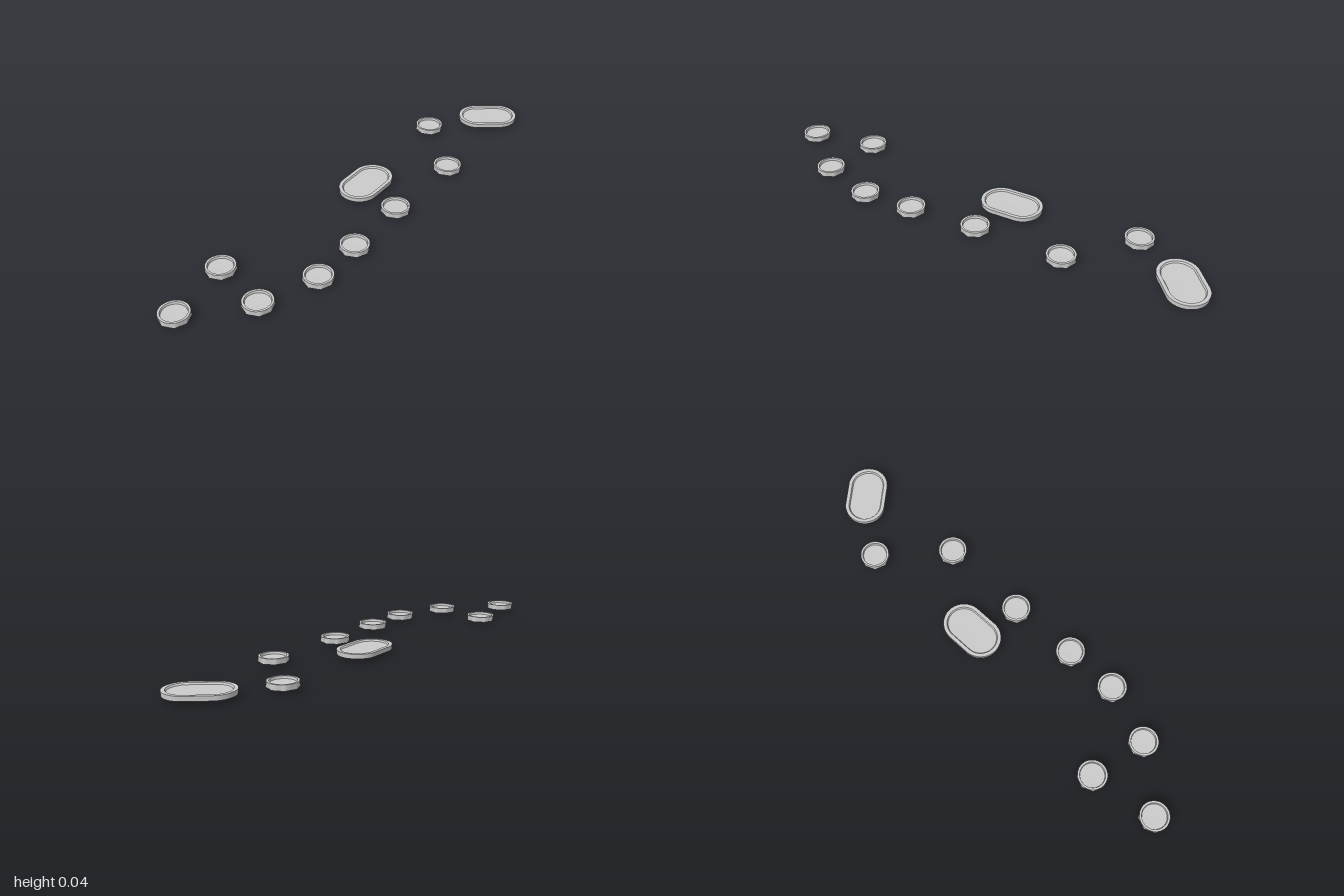
import * as THREE from 'three';

const material = new THREE.MeshStandardMaterial({ color: 0xcccccc });
const SEG = 48;

// Closed stadium outline in the xz plane (a circle when half = 0).
// A number of sides turns the round outline into a regular polygon.
function ring(r, half, y, sides = 0) {
  const points = [];
  for (let i = 0; i < SEG; i++) {
    const a = ((i + (half ? 0.5 : 0)) / SEG) * Math.PI * 2;
    let rad = r;
    if (sides) {
      const step = Math.PI / sides;
      rad = (r * Math.cos(step)) / Math.cos((a % (2 * step)) - step);
    }
    const c = Math.cos(a), s = Math.sin(a);
    points.push([rad * c, y, rad * s + (half ? Math.sign(s) * half : 0)]);
  }
  return points;
}

const point = (x, y, z) => Array.from({ length: SEG }, () => [x, y, z]);

// Skins the rings in order; every band keeps its own normals so rims stay sharp.
function loft(rings) {
  const positions = [], index = [];
  for (let b = 0; b < rings.length - 1; b++) {
    const base = positions.length / 3;
    for (const p of [...rings[b], ...rings[b + 1]]) positions.push(...p);
    for (let i = 0; i < SEG; i++) {
      const j = (i + 1) % SEG;
      const a = base + i, c = base + j, d = a + SEG, e = c + SEG;
      if (b > 0) index.push(a, d, c);
      if (b < rings.length - 2) index.push(c, d, e);
      if (b === 0) index.push(a, d, e);
      else if (b === rings.length - 2) index.push(c, d, c);
    }
  }
  const geometry = new THREE.BufferGeometry();
  geometry.setAttribute('position', new THREE.Float32BufferAttribute(positions, 3));
  // Drop the zero-area corners at the pole
  const clean = [];
  for (let i = 0; i < index.length; i += 3) {
    if (index[i] !== index[i + 2]) clean.push(index[i], index[i + 1], index[i + 2]);
  }
  geometry.setIndex(clean);
  geometry.computeVertexNormals();
  return geometry;
}

// Small round dish: flat faceted foot, round wall, thin lip and sunken floor
const roundDish = loft([
  point(0, 0.014, 0),
  ring(0.062, 0, 0.014, 8),
  ring(0.06, 0, 0.037),
  ring(0.051, 0, 0.037),
  ring(0.049, 0, 0.027),
  point(0, 0.026, 0),
]);

// Long dish: shallow pointed underside, low wall, lip and shallow floor
const longDish = (ax, az) => loft([
  point(ax, 0, az),
  ring(0.084, 0.048, 0.016),
  ring(0.085, 0.048, 0.035),
  ring(0.07, 0.048, 0.035),
  ring(0.066, 0.048, 0.028),
  point(0, 0.027, 0),
]);

export function createModel() {
  const group = new THREE.Group();

  const add = (name, geometry, x, z, turn = 0) => {
    const mesh = new THREE.Mesh(geometry, material);
    mesh.name = name;
    mesh.position.set(x, 0, z);
    mesh.rotation.y = turn;
    group.add(mesh);
  };

  // Winding trail of round dishes
  [
    [-0.08, -0.652], [0.163, -0.422], [0.152, -0.041], [0.163, 0.253],
    [0.163, 0.478], [-0.165, 0.657], [0.076, 0.717], [-0.123, 0.938],
  ].forEach(([x, z], i) => add(`roundDish${i + 1}`, roundDish, x, z));

  // Two long dishes, the rear one turned
  add('middleLongDish', longDish(0.017, 0.005), -0.047, -0.107);
  add('rearLongDish', longDish(0, 0.005), 0.096, -0.885, THREE.MathUtils.degToRad(-52));

  return group;
}
